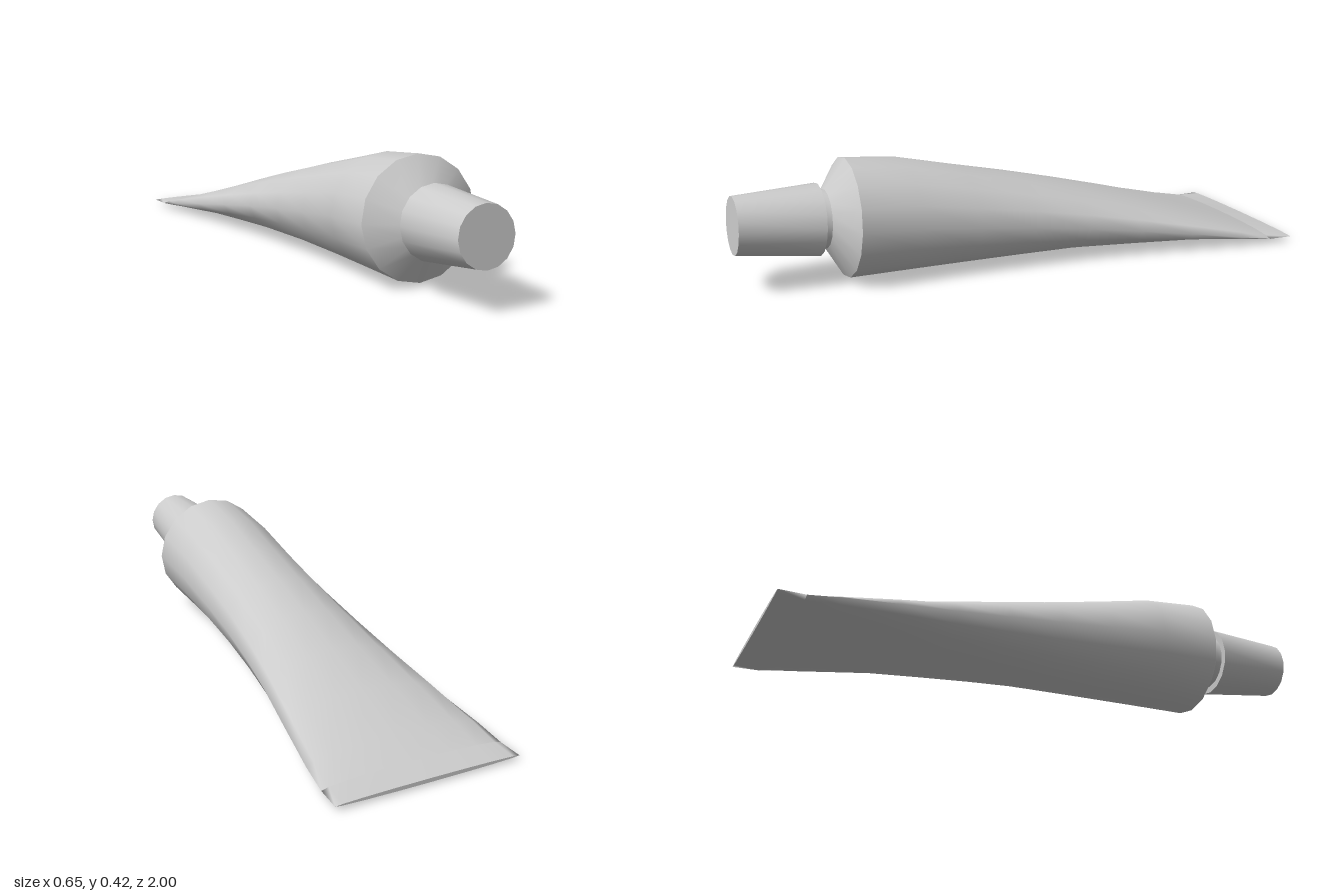
import * as THREE from 'three';

const SIDES = 16;
const TILT = 0.05; // the nozzle end points slightly upwards

// Smooth skin through elliptical rings [z, centreY, radiusX, radiusY, tilt], ordered towards +z
function loft(rings) {
  const pos = [], index = [];
  for (const [z, cy, rx, ry, tilt = 0] of rings) {
    for (let j = 0; j < SIDES; j++) {
      const a = (j / SIDES) * Math.PI * 2;
      const dy = ry * Math.cos(a);
      pos.push(rx * Math.sin(a), cy + dy, z - tilt * dy);
    }
  }
  for (let i = 0; i < rings.length - 1; i++) {
    for (let j = 0; j < SIDES; j++) {
      const k = (j + 1) % SIDES;
      const a = i * SIDES + j, b = i * SIDES + k;
      const c = a + SIDES, d = b + SIDES;
      index.push(a, c, b, b, c, d);
    }
  }
  const g = new THREE.BufferGeometry();
  g.setAttribute('position', new THREE.Float32BufferAttribute(pos, 3));
  g.setIndex(index);
  g.computeVertexNormals();
  return g;
}

// Round ring on the tilted nozzle axis
const round = (z, r) => [z, 0.218 + TILT * (z - 0.62), r, r, TILT];

export function createModel() {
  const group = new THREE.Group();
  const material = new THREE.MeshStandardMaterial({ color: 0xcccccc, side: THREE.DoubleSide });
  const add = (name, rings) => {
    const mesh = new THREE.Mesh(loft(rings), material);
    mesh.name = name;
    group.add(mesh);
  };

  // Squeezable body: z, bottom, top, half width, going from flat to round
  const sections = [
    [-0.91, 0.003, 0.04, 0.319],
    [-0.8, 0.004, 0.075, 0.31],
    [-0.6, 0.005, 0.137, 0.282],
    [-0.4, 0.006, 0.196, 0.252],
    [-0.2, 0.008, 0.252, 0.229],
    [0, 0.009, 0.304, 0.214],
    [0.2, 0.01, 0.351, 0.207],
    [0.41, 0.011, 0.402, 0.205],
  ].map(([z, lo, hi, w]) => [z, (lo + hi) / 2, w, (hi - lo) / 2]);
  add('body', [...sections, round(0.62, 0.205)]);

  // Flat crimped tail and its closed end
  const tail = [-1, 0.02, 0.323, 0.007];
  add('crimp', [tail, sections[0]]);
  add('crimpEnd', [[-1, 0.02, 0, 0], tail]);

  // Conical shoulder and short neck
  add('shoulder', [round(0.62, 0.205), round(0.688, 0.1)]);
  add('neck', [round(0.688, 0.1), round(0.715, 0.1)]);

  // Tapered screw cap
  add('capBack', [round(0.712, 0.09), round(0.712, 0.123)]);
  add('capSide', [round(0.712, 0.123), round(0.995, 0.098)]);
  add('capFront', [round(0.995, 0.098), round(0.995, 0)]);

  return group;
}
